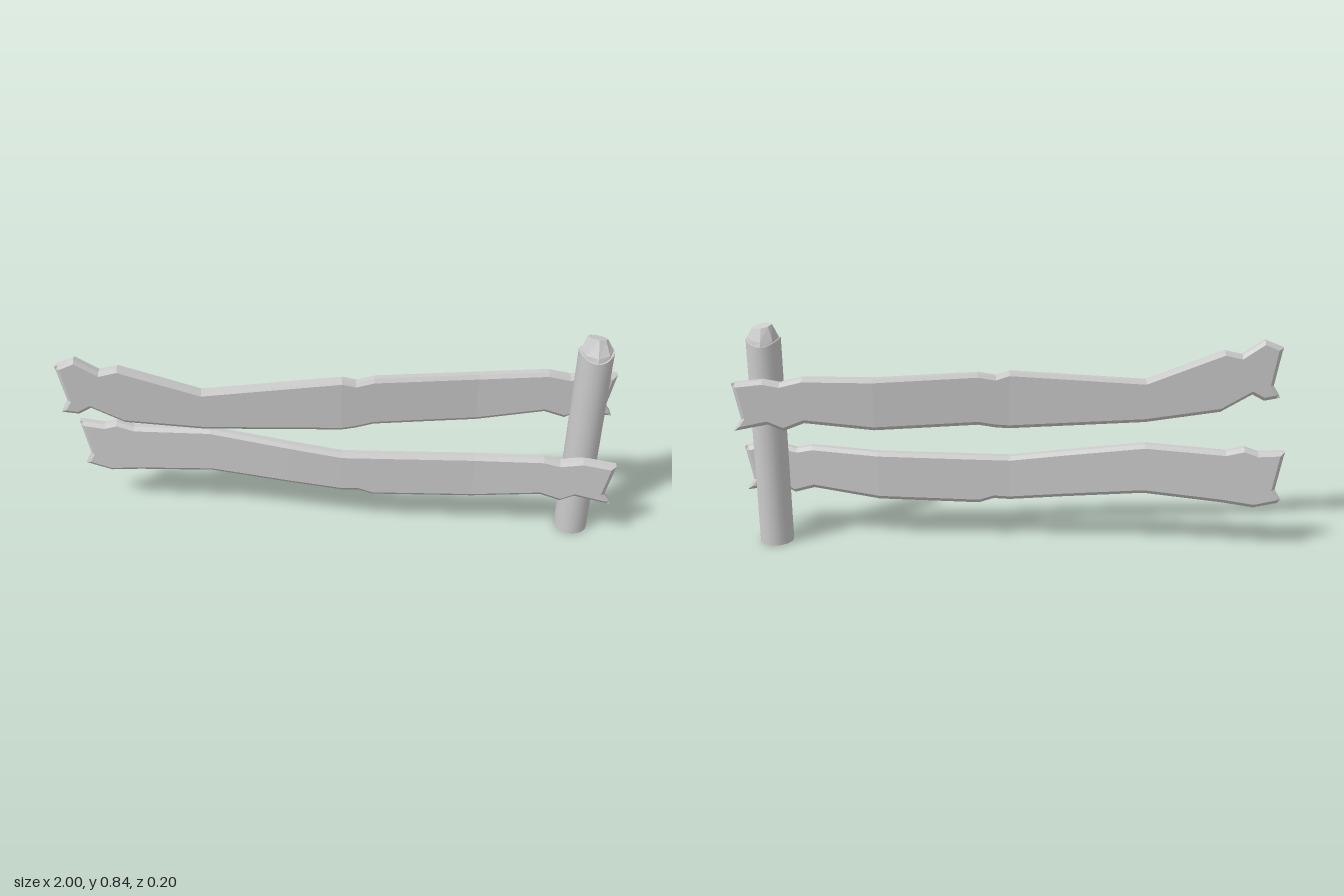
import * as THREE from 'three';

const material = new THREE.MeshStandardMaterial({ color: 0xcccccc });
const flatMaterial = new THREE.MeshStandardMaterial({ color: 0xcccccc, flatShading: true });

// Height of a polyline of [x, value] points at x
function sample(line, x) {
  for (let i = 1; i < line.length; i++) {
    const [x0, v0] = line[i - 1], [x1, v1] = line[i];
    if (x <= x1 || i === line.length - 1) {
      const t = THREE.MathUtils.clamp((x - x0) / (x1 - x0), 0, 1);
      return v0 + (v1 - v0) * t;
    }
  }
}

// Bevelled plank: top and bottom edge lines, a bend in z and notched ends
function plank(name, top, bottom, bend, notch) {
  const bevel = 0.014, half = 0.021, rim = 0.011;
  const x0 = top[0][0], x1 = top[top.length - 1][0];
  const inner = [...new Set([...top, ...bottom, ...bend].map(p => p[0]))]
    .filter(x => x > x0 + 0.05 && x < x1 - 0.05).sort((a, b) => a - b);
  const xs = [x0, x0 + bevel, ...inner, x1 - bevel, x1];
  const last = xs.length - 1, rows = 5;

  const vertex = (c, r, side) => {
    let x = xs[c];
    const yb = sample(bottom, x), yt = sample(top, x);
    const y = [yb, yb + bevel, yb + (yt - yb) * notch, yt - bevel, yt][r];
    const inset = [0, 0.006, 0.027, 0.004, 0][r];
    if (c < 2) x += inset;
    if (c > last - 2) x -= inset;
    const border = c === 0 || c === last || r === 0 || r === rows - 1;
    return [x, y, sample(bend, x) + side * (border ? rim : half)];
  };

  const pos = [];
  const quad = (a, b, c, d) => pos.push(...a, ...b, ...c, ...a, ...c, ...d);
  for (let c = 0; c < last; c++) {
    // broad faces
    for (let r = 0; r < rows - 1; r++) {
      quad(vertex(c, r, 1), vertex(c + 1, r, 1), vertex(c + 1, r + 1, 1), vertex(c, r + 1, 1));
      quad(vertex(c + 1, r, -1), vertex(c, r, -1), vertex(c, r + 1, -1), vertex(c + 1, r + 1, -1));
    }
    // top and bottom edges
    const t = rows - 1;
    quad(vertex(c, t, 1), vertex(c + 1, t, 1), vertex(c + 1, t, -1), vertex(c, t, -1));
    quad(vertex(c, 0, -1), vertex(c + 1, 0, -1), vertex(c + 1, 0, 1), vertex(c, 0, 1));
  }
  // end edges
  for (let r = 0; r < rows - 1; r++) {
    quad(vertex(0, r, -1), vertex(0, r, 1), vertex(0, r + 1, 1), vertex(0, r + 1, -1));
    quad(vertex(last, r, 1), vertex(last, r, -1), vertex(last, r + 1, -1), vertex(last, r + 1, 1));
  }
  const geometry = new THREE.BufferGeometry();
  geometry.setAttribute('position', new THREE.Float32BufferAttribute(pos, 3));
  geometry.computeVertexNormals();
  const mesh = new THREE.Mesh(geometry, flatMaterial);
  mesh.name = name;
  return mesh;
}

function post() {
  const group = new THREE.Group();
  group.name = 'post';

  // Round shaft with an uneven upper rim
  const shaft = new THREE.CylinderGeometry(0.062, 0.062, 0.775, 24);
  shaft.translate(0, 0.3875, 0);
  const p = shaft.attributes.position;
  for (let i = 0; i < p.count; i++) {
    if (p.getY(i) < 0.5) continue;
    const a = Math.atan2(p.getX(i), p.getZ(i));
    p.setY(i, 0.775 - 0.012 * Math.cos(2 * a));
  }
  const body = new THREE.Mesh(shaft, material);
  body.name = 'postShaft';

  // Roughly hewn tip with a tilted top
  const cap = new THREE.CylinderGeometry(1, 1, 1, 8, 2);
  const q = cap.attributes.position;
  for (let i = 0; i < q.count; i++) {
    const x = q.getX(i), z = q.getZ(i), level = Math.round((q.getY(i) + 0.5) * 2);
    if (level === 0) q.setXYZ(i, x * 0.061, 0.755, z * 0.061);
    if (level === 1) q.setXYZ(i, x * 0.057, 0.788 - 0.008 * z * z, z * 0.053);
    if (level === 2) q.setXYZ(i, x * 0.036 - 0.001, 0.831 + 0.005 * z - 0.006 * x, z * 0.026 - 0.008);
  }
  cap.computeVertexNormals();
  const tip = new THREE.Mesh(cap, flatMaterial);
  tip.name = 'postTip';

  group.add(body, tip);
  group.position.set(0.884, 0, -0.005);
  return group;
}

export function createModel() {
  const model = new THREE.Group();
  model.name = 'brokenFence';

  const upper = plank('upperPlank',
    [[-1, 0.735], [-0.93, 0.763], [-0.85, 0.71], [-0.785, 0.725], [-0.5, 0.62], [0, 0.66], [0.05, 0.645],
      [0.115, 0.658], [0.49, 0.65], [0.74, 0.657], [0.82, 0.638], [0.88, 0.65], [0.99, 0.64]],
    [[-1, 0.545], [-0.94, 0.535], [-0.895, 0.56], [-0.78, 0.495], [-0.5, 0.46], [0, 0.445], [0.05, 0.45],
      [0.115, 0.463], [0.49, 0.457], [0.74, 0.488], [0.815, 0.46], [0.87, 0.485], [0.99, 0.463]],
    [[-1, 0.077], [0, 0.012], [0.49, -0.055], [1, -0.085]], 0.25);

  const lower = plank('lowerPlank',
    [[-0.995, 0.39], [-0.9, 0.383], [-0.85, 0.4], [-0.785, 0.383], [-0.495, 0.4], [0, 0.335],
      [0.49, 0.345], [0.74, 0.36], [0.8, 0.348], [0.88, 0.365], [1, 0.35]],
    [[-0.995, 0.195], [-0.895, 0.17], [-0.78, 0.185], [-0.495, 0.21], [0, 0.165], [0.06, 0.168],
      [0.115, 0.15], [0.49, 0.16], [0.74, 0.195], [0.815, 0.173], [0.865, 0.2], [1, 0.175]],
    [[-0.995, -0.085], [-0.2, -0.004], [0, 0.012], [0.49, 0.025], [1, 0.077]], 0.25);

  model.add(upper, lower, post());
  return model;
}
